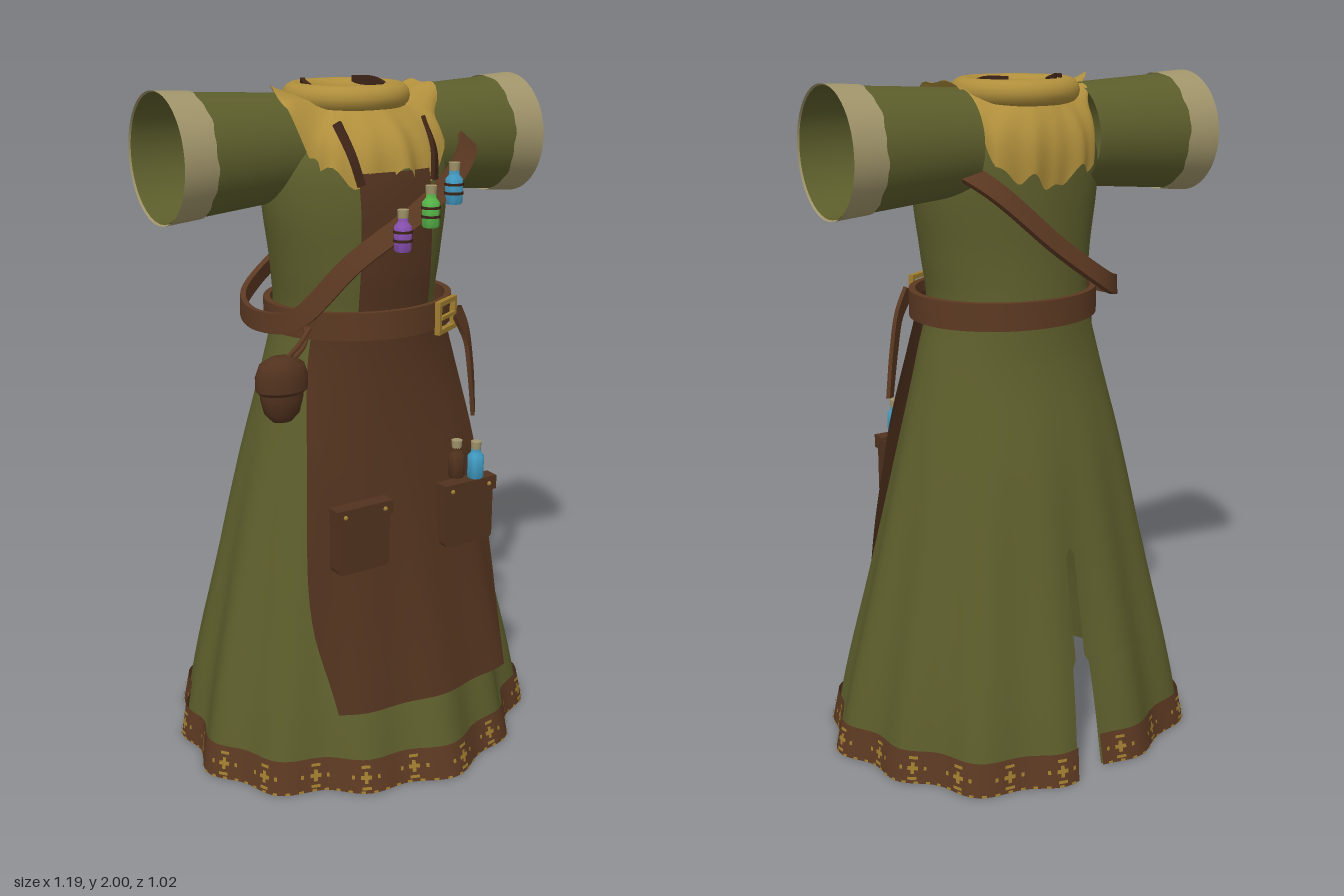
import * as THREE from 'three';
import { mergeVertices, mergeGeometries, toCreasedNormals } from 'three/addons/utils/BufferGeometryUtils.js';

const V = (x, y, z) => new THREE.Vector3(x, y, z);
const mat = (name, color) => new THREE.MeshStandardMaterial({ name, color, side: THREE.DoubleSide });
const M = {
  olive: mat('olive cloth', 0x5c5d2b), apron: mat('apron brown', 0x51321e), leather: mat('leather', 0x5c3922),
  dark: mat('dark leather', 0x3c2317), mustard: mat('mustard cloth', 0xb08f3c), khaki: mat('khaki', 0xa0946a),
  gold: mat('gold', 0xa07e2e), blue: mat('blue glass', 0x409cc4), green: mat('green glass', 0x58b84a),
  purple: mat('purple glass', 0x8a52b4),
};

// Grid surface from f(u, v), with u and v running 0..1
function surf(f, nu, nv) {
  const pos = [], idx = [];
  for (let j = 0; j <= nv; j++) for (let i = 0; i <= nu; i++) pos.push(...f(i / nu, j / nv).toArray());
  for (let j = 0; j < nv; j++) for (let i = 0; i < nu; i++) {
    const a = j * (nu + 1) + i, b = a + nu + 1;
    idx.push(a, a + 1, b, b, a + 1, b + 1);
  }
  let g = new THREE.BufferGeometry();
  g.setAttribute('position', new THREE.Float32BufferAttribute(pos, 3));
  g.setIndex(idx);
  g = mergeVertices(g, 1e-5);
  g.computeVertexNormals();
  return g;
}

// Robe cross-sections: height -> half width, front z, back z
const robe = new THREE.CubicInterpolant(
  [0, 0.2, 0.5, 0.9, 1.2, 1.35, 1.5, 1.7, 1.8, 1.88, 1.95],
  [0.555, 0.472, -0.482, 0.52, 0.428, -0.45, 0.453, 0.352, -0.385, 0.36, 0.272, -0.3, 0.284, 0.225, -0.225,
    0.248, 0.215, -0.21, 0.262, 0.225, -0.2, 0.287, 0.22, -0.2, 0.275, 0.195, -0.195, 0.21, 0.145, -0.18,
    0.135, 0.09, -0.17], 3);
// Point on the robe; angle 0 faces front, folds grow towards the hem
function onRobe(a, y, off = 0) {
  const [rx, zf, zb] = robe.evaluate(y);
  const amp = 0.028 * Math.pow(Math.max(0, (1.15 - y) / 1.15), 1.2);
  const d = off + amp * (0.6 * Math.sin(13 * a + 0.6) + 0.5 * Math.sin(5 * a + 1));
  return V((rx + d) * Math.sin(a), y, (zf + zb) / 2 + ((zf - zb) / 2 + d) * Math.cos(a));
}
// Half angle of the open slit at the back: a narrow slot that widens below
const slit = y => (y > 0.66 ? 0 : y > 0.34 ? 0.04 : 0.07 + 0.03 * (0.34 - y) / 0.34);
const round = (u, y) => -Math.PI + slit(y) + u * (2 * Math.PI - 2 * slit(y));

// Flat strap of rectangular section along a path, facing away from the body's axis and up by lift(y)
function ribbon(points, width, thick, { closed = false, lift = () => 0, n = 40 } = {}) {
  const c = new THREE.CatmullRomCurve3(points.map(p => V(...p)), closed);
  const corners = [[-1, -1], [1, -1], [1, 1], [-1, 1], [-1, -1]];
  return toCreasedNormals(surf((u, v) => {
    const p = c.getPoint(v), t = c.getTangent(v);
    const w = V().crossVectors(t, V(p.x, lift(p.y), p.z)).normalize(), o = V().crossVectors(w, t);
    const [a, b] = corners[Math.round(u * 4)];
    return p.addScaledVector(w, a * width / 2).addScaledVector(o, b * thick / 2);
  }, 4, n), 0.7);
}
const lathe = (pts, n = 20) => toCreasedNormals(new THREE.LatheGeometry(pts.map(p => new THREE.Vector2(...p)), n), 0.8);

export function createModel() {
  const root = new THREE.Group();
  const add = (name, geo, m, x = 0, y = 0, z = 0, parent = root) => {
    const mesh = new THREE.Mesh(geo, m);
    mesh.name = name;
    mesh.position.set(x, y, z);
    parent.add(mesh);
    return mesh;
  };

  // Robe and hem
  add('robe', surf((u, v) => onRobe(round(u, v * 1.95), v * 1.95), 156, 78), M.olive);
  add('hemTrim', surf((u, v) => onRobe(round(u, v * 0.1), v * 0.1, 0.01), 156, 3), M.leather);
  const motifs = [];
  const chip = (a, y, w, h) => motifs.push(surf((u, v) => onRobe(a + (u - 0.5) * w, y + (v - 0.5) * h, 0.015), 2, 1));
  for (let i = 0; i < 22; i++) {
    const a = -2.94 + i * 5.88 / 21;
    chip(a, 0.05, 0.06, 0.012);
    chip(a, 0.05, 0.02, 0.036);
    for (const s of [-1, 1]) {
      chip(a, 0.05 + s * 0.032, 0.05, 0.009);
      chip(a + s * 0.07, 0.05, 0.016, 0.012);
    }
  }
  for (let i = 0; i < 90; i++) chip(-3.0 + i * 6 / 89, 0.006, 0.024, 0.007);
  add('hemOrnament', mergeGeometries(motifs), M.gold);

  // Sleeves with cuffs
  for (const s of [-1, 1]) {
    const ring = (x, u, off) => {
      const k = (x - 0.19) / 0.4, r = 0.147 + 0.028 * k + off, a = u * Math.PI * 2;
      return V(s * x, 1.823 - 0.008 * k + r * Math.sin(a), -0.046 + r * Math.cos(a));
    };
    add('sleeve', surf((u, v) => ring(0.19 + 0.398 * v, u, 0), 48, 12), M.olive);
    add('cuff', surf((u, v) => {
      const x0 = 0.492 + 0.003 * Math.sin(u * Math.PI * 14) + 0.002 * Math.sin(u * Math.PI * 34);
      return ring(x0 + (0.593 - x0) * v, u, 0.004);
    }, 72, 3), M.khaki);
  }

  // Torn mantle over the shoulders: angle -> edge radius, edge height
  const edge = new THREE.LinearInterpolant([0, 0.5, 0.85, 1.15, 1.4, 1.75, 2.0, 2.35, 2.8, Math.PI],
    [0.265, 1.755, 0.285, 1.735, 0.275, 1.79, 0.275, 1.93, 0.265, 1.98, 0.205, 1.975, 0.2, 1.9,
      0.235, 1.77, 0.19, 1.72, 0.18, 1.71], 2);
  add('mantle', surf((u, v) => {
    const a = (u * 2 - 1) * Math.PI, [er, ey] = edge.evaluate(Math.abs(a));
    const jag = 0.6 * Math.sin(9 * a + 0.8) + 0.5 * Math.sin(16 * a);
    const bulge = (0.033 + 0.003 * Math.cos(a)) * Math.sin(Math.PI * v);
    const r = 0.13 + (er - 0.13 + 0.012 * jag * v) * v + bulge;
    const y = 1.95 + (ey - 1.95 + 0.026 * jag * v) * v + 0.012 * Math.sin(Math.PI * v);
    return V(r * Math.sin(a), Math.min(y, 1.997), -0.04 + r * Math.cos(a));
  }, 120, 12), M.mustard);
  const collar = new THREE.TorusGeometry(0.147, 0.036, 14, 48).rotateX(Math.PI / 2);
  add('collar', collar, M.mustard, 0, 1.957, -0.038);

  // Apron, draped flatter than the robe front and tucked under the belt
  const drape = (y, half) => surf((u, v) => {
    const yy = y[0] + (y[1] - y[0]) * v, x = (u * 2 - 1) * half(yy), [rx, zf] = robe.evaluate(yy);
    const p = onRobe(Math.asin(x / rx), yy, 0.02);
    p.z += (zf + 0.02 - p.z) * (0.48 - 0.3 * THREE.MathUtils.smoothstep(yy, 0.9, 1.32));
    return p;
  }, 28, 24);
  const skirtWidth = new THREE.CubicInterpolant([0.25, 0.5, 0.85, 1.2, 1.36], [0.292, 0.318, 0.288, 0.238, 0.205], 1);
  add('apronSkirt', drape([0.25, 1.36], y => skirtWidth.evaluate(y)[0]), M.apron);
  add('apronBib', drape([1.34, 1.77], () => 0.11), M.apron);
  for (const s of [-1, 1]) {
    add('apronStrap', ribbon([[s * 0.12, 1.74, 0.235], [s * 0.135, 1.82, 0.208], [s * 0.143, 1.9, 0.145]], 0.024, 0.012), M.dark);
    add('collarStrap', ribbon([[s * 0.085, 1.985, -0.135], [s * 0.115, 1.985, -0.08], [s * 0.123, 1.97, -0.02]], 0.03, 0.014), M.dark);
  }

  // Belt, buckle and hanging tail
  const belt = add('belt', lathe([[0.93, 0], [1, 0], [1, 0.08], [0.93, 0.08], [0.93, 0]], 56), M.leather, 0.008, 1.31, 0.014);
  belt.scale.set(0.286, 1, 0.254);
  const rect = (c, w, h) => c.moveTo(-w, -h).lineTo(w, -h).lineTo(w, h).lineTo(-w, h).closePath();
  const frame = rect(new THREE.Shape(), 0.056, 0.048);
  frame.holes.push(rect(new THREE.Path(), 0.042, 0.034));
  const buckle = new THREE.Group();
  buckle.name = 'buckle';
  buckle.position.set(0.148, 1.353, 0.252);
  buckle.rotation.y = 0.5;
  root.add(buckle);
  add('buckleFrame', new THREE.ExtrudeGeometry(frame, { depth: 0.016, bevelEnabled: false }), M.gold, 0, 0, 0, buckle);
  add('bucklePin', new THREE.BoxGeometry(0.09, 0.01, 0.012), M.gold, 0, 0, 0.014, buckle);
  add('beltTail', ribbon([[0.2, 1.355, 0.248], [0.24, 1.28, 0.24], [0.26, 1.17, 0.24], [0.285, 1.03, 0.225]], 0.058, 0.012), M.leather);

  // Bandolier looping from the left shoulder to the right hip, lying flatter towards the shoulder
  add('bandolier', ribbon([[0.32, 1.825, 0.11], [0.31, 1.81, -0.05], [0.18, 1.715, -0.195], [-0.02, 1.54, -0.24],
    [-0.2, 1.42, -0.215], [-0.32, 1.375, -0.09], [-0.345, 1.36, 0.05], [-0.295, 1.38, 0.17], [-0.17, 1.54, 0.27],
    [0, 1.66, 0.312], [0.15, 1.745, 0.275]], 0.058, 0.016,
    { closed: true, lift: y => 0.9 * Math.max(0, y - 1.38), n: 96 }), M.leather);

  // Bottles
  const glass = lathe([[0, 0], [0.021, 0], [0.024, 0.006], [0.024, 0.068], [0.014, 0.08], [0.014, 0.094]]);
  const cork = new THREE.CylinderGeometry(0.016, 0.014, 0.024, 14);
  const loop = new THREE.CylinderGeometry(0.027, 0.027, 0.007, 18);
  const bottle = (name, m, x, y, z, held) => {
    const g = new THREE.Group();
    g.name = name;
    g.position.set(x, y, z);
    root.add(g);
    add('glass', glass, m, 0, 0, 0, g);
    add('cork', cork, M.khaki, 0, 0.101, 0, g);
    if (held) for (const h of [0.03, 0.054]) add('holderLoop', loop, M.dark, 0, h, 0, g);
  };
  bottle('purpleBottle', M.purple, -0.058, 1.575, 0.342, true);
  bottle('greenBottle', M.green, 0.032, 1.632, 0.343, true);
  bottle('blueBottle', M.blue, 0.122, 1.685, 0.324, true);
  bottle('pocketBottle', M.blue, 0.21, 0.87, 0.343, false);
  bottle('pocketVial', M.apron, 0.143, 0.885, 0.338, false);

  // Apron pockets with flaps and studs
  const stud = new THREE.SphereGeometry(0.007, 10, 6);
  for (const x of [-0.188, 0.18]) {
    const b = new THREE.Shape();
    b.moveTo(-0.086, 0.19).lineTo(-0.086, 0.02).quadraticCurveTo(-0.086, 0, -0.066, 0).lineTo(0.066, 0)
      .quadraticCurveTo(0.086, 0, 0.086, 0.02).lineTo(0.086, 0.19).closePath();
    add('pocket', new THREE.ExtrudeGeometry(b, { depth: 0.045, bevelEnabled: false }), M.apron, x, 0.672, 0.312);
    add('pocketFlap', new THREE.BoxGeometry(0.186, 0.042, 0.046), M.apron, x, 0.85, 0.341);
    for (const s of [-1, 1]) add('pocketStud', stud, M.gold, x + s * 0.066, 0.85, 0.364);
  }

  // Flattened acorn-shaped pouch hung from the belt
  const pouch = new THREE.Group();
  pouch.name = 'pouch';
  pouch.position.set(-0.35, 1.095, 0.185);
  pouch.scale.z = 0.74;
  root.add(pouch);
  add('pouchBody', lathe([[0, 0], [0.03, 0.008], [0.053, 0.032], [0.064, 0.075], [0.066, 0.11]]), M.apron, 0, 0, 0, pouch);
  add('pouchCap', lathe([[0.066, 0.09], [0.077, 0.1], [0.078, 0.14], [0.066, 0.172], [0.035, 0.19], [0, 0.195]]), M.apron, 0, 0, 0, pouch);
  for (const s of [0, 1]) {
    const cord = new THREE.CatmullRomCurve3([V(-0.345 + s * 0.03, 1.27, 0.185), V(-0.3 + s * 0.02, 1.31, 0.19), V(-0.25, 1.35, 0.17 - s * 0.02)]);
    add('pouchCord', new THREE.TubeGeometry(cord, 12, 0.007, 8), M.leather);
  }
  return root;
}
